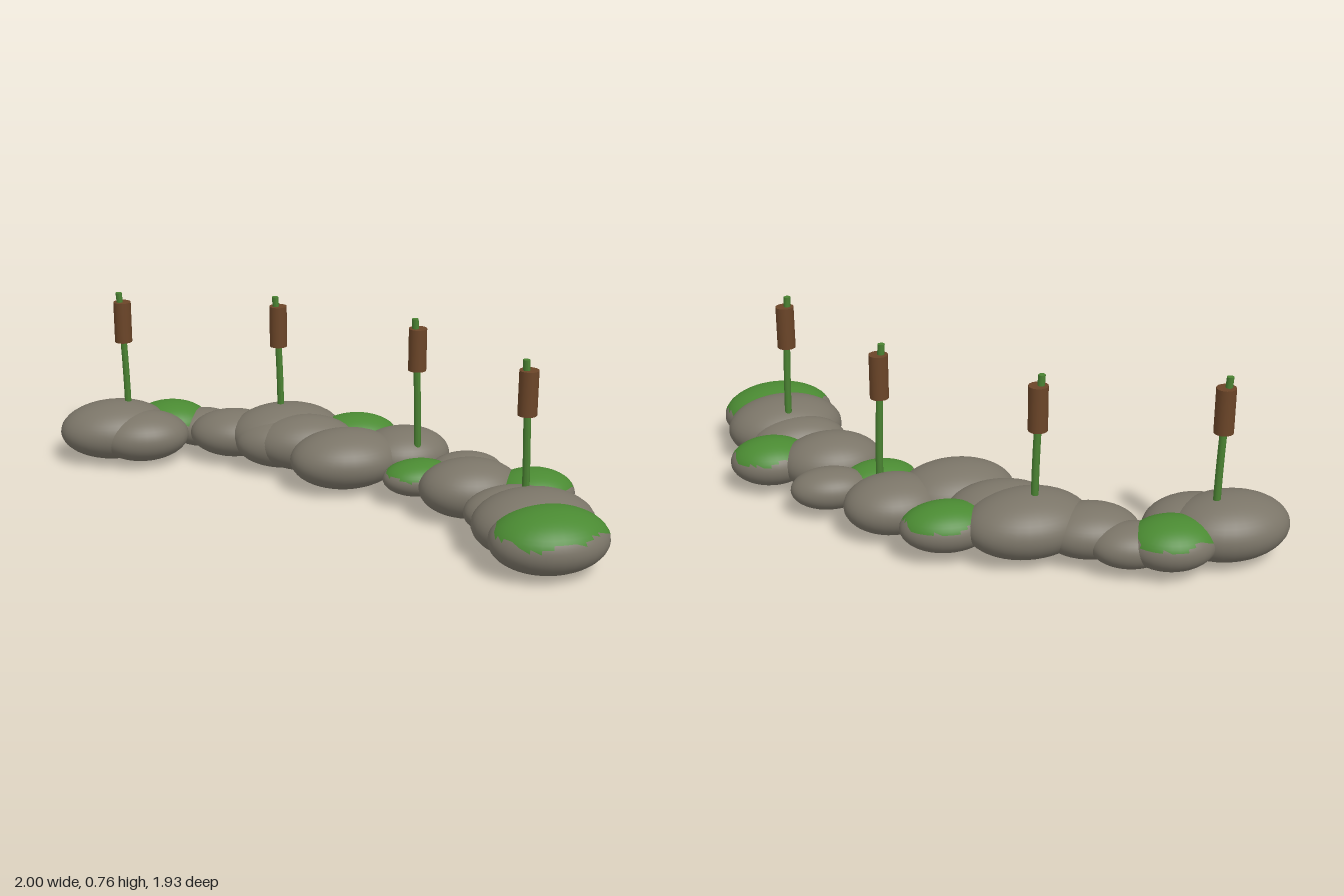
import * as THREE from 'three';

const stoneMat = new THREE.MeshStandardMaterial({ color: 0x7b7568 });
const mossMat = new THREE.MeshStandardMaterial({ color: 0x4a8a32 });
const stemMat = new THREE.MeshStandardMaterial({ color: 0x4a8232 });
const headMat = new THREE.MeshStandardMaterial({ color: 0x6b4528 });

// x, z, centre height, radii x y z, turn about y, moss cap
const STONES = [
  [-0.755, -0.77, 0.148, 0.245, 0.128, 0.18, 0, false],
  [-0.64, -0.69, 0.135, 0.2, 0.11, 0.15, 0, false],
  [-0.50, -0.825, 0.14, 0.175, 0.1, 0.143, -0.15, true],
  [-0.36, -0.775, 0.125, 0.16, 0.085, 0.115, -0.2, false],
  [-0.24, -0.64, 0.137, 0.195, 0.103, 0.145, -0.25, false],
  [-0.02, -0.55, 0.155, 0.25, 0.128, 0.185, 0, false],
  [-0.05, -0.46, 0.14, 0.21, 0.11, 0.13, -0.2, false],
  [0.04, -0.42, 0.148, 0.225, 0.12, 0.15, -0.15, false],
  [0.28, -0.475, 0.145, 0.183, 0.095, 0.13, -0.1, true],
  [0.17, -0.20, 0.145, 0.24, 0.125, 0.178, 0, false],
  [0.43, -0.225, 0.14, 0.2, 0.113, 0.165, 0, false],
  [0.43, 0.03, 0.125, 0.155, 0.075, 0.11, 0, true],
  [0.64, 0.005, 0.125, 0.16, 0.083, 0.108, -0.1, false],
  [0.59, 0.22, 0.14, 0.21, 0.12, 0.16, -0.1, false],
  [0.83, 0.305, 0.135, 0.17, 0.097, 0.137, -0.15, true],
  [0.685, 0.47, 0.135, 0.198, 0.1, 0.12, 0, false],
  [0.72, 0.62, 0.142, 0.246, 0.132, 0.19, 0, false],
  [0.725, 0.78, 0.142, 0.236, 0.125, 0.182, 0, true],
];

// x, z, height where the stem leaves the stones
const REEDS = [
  [-0.70, -0.78, 0.24], [-0.045, -0.57, 0.25], [0.455, -0.11, 0.18], [0.715, 0.52, 0.2],
];

// Sorts the faces of a sphere into bare stone (0) and a ragged moss cap (1)
function addMossGroups(geo, seed) {
  const pos = geo.attributes.position;
  const faces = [[], []];
  const idx = geo.index.array;
  for (let i = 0; i < idx.length; i += 3) {
    const [a, b, c] = [idx[i], idx[i + 1], idx[i + 2]];
    const mid = (get) => (get(a) + get(b) + get(c)) / 3;
    const y = mid((k) => pos.getY(k));
    const angle = Math.atan2(mid((k) => pos.getZ(k)), mid((k) => pos.getX(k)));
    const edge = 0.33 + 0.08 * Math.sin(angle * 3 + seed) + 0.07 * Math.sin(angle * 7 + seed * 2);
    faces[y > edge ? 1 : 0].push(a, b, c);
  }
  geo.setIndex([...faces[0], ...faces[1]]);
  geo.addGroup(0, faces[0].length, 0);
  geo.addGroup(faces[0].length, faces[1].length, 1);
}

function makeStone([x, z, y, rx, ry, rz, turn, mossy], i) {
  const geo = new THREE.SphereGeometry(1, 32, 24);
  if (mossy) addMossGroups(geo, i);
  geo.scale(rx, ry, rz);
  const stone = new THREE.Mesh(geo, mossy ? [stoneMat, mossMat] : stoneMat);
  stone.name = mossy ? 'mossyStone' : 'stone';
  stone.position.set(x, y, z);
  stone.rotation.y = turn;
  return stone;
}

function makeReed([x, z, base]) {
  const reed = new THREE.Group();
  reed.name = 'reed';
  reed.position.set(x, 0, z);

  // Stem leaning gently towards -x as it rises
  const top = 0.77, bottom = base - 0.08;
  const stemGeo = new THREE.CylinderGeometry(0.014, 0.015, top - bottom, 10, 8);
  stemGeo.translate(0, (top + bottom) / 2, 0);
  const p = stemGeo.attributes.position;
  for (let i = 0; i < p.count; i++) {
    const t = (p.getY(i) - bottom) / (top - bottom);
    p.setX(i, p.getX(i) + 0.005 - 0.022 * t * t);
  }
  stemGeo.computeVertexNormals();
  const stem = new THREE.Mesh(stemGeo, stemMat);
  stem.name = 'stem';

  const head = new THREE.Mesh(new THREE.CylinderGeometry(0.038, 0.038, 0.18, 16), headMat);
  head.name = 'seedHead';
  head.position.set(-0.004, 0.638, 0);
  reed.add(stem, head);
  return reed;
}

export function createModel() {
  const model = new THREE.Group();
  model.name = 'reedyStoneBank';
  STONES.forEach((s, i) => model.add(makeStone(s, i)));
  REEDS.forEach((r) => model.add(makeReed(r)));
  return model;
}
